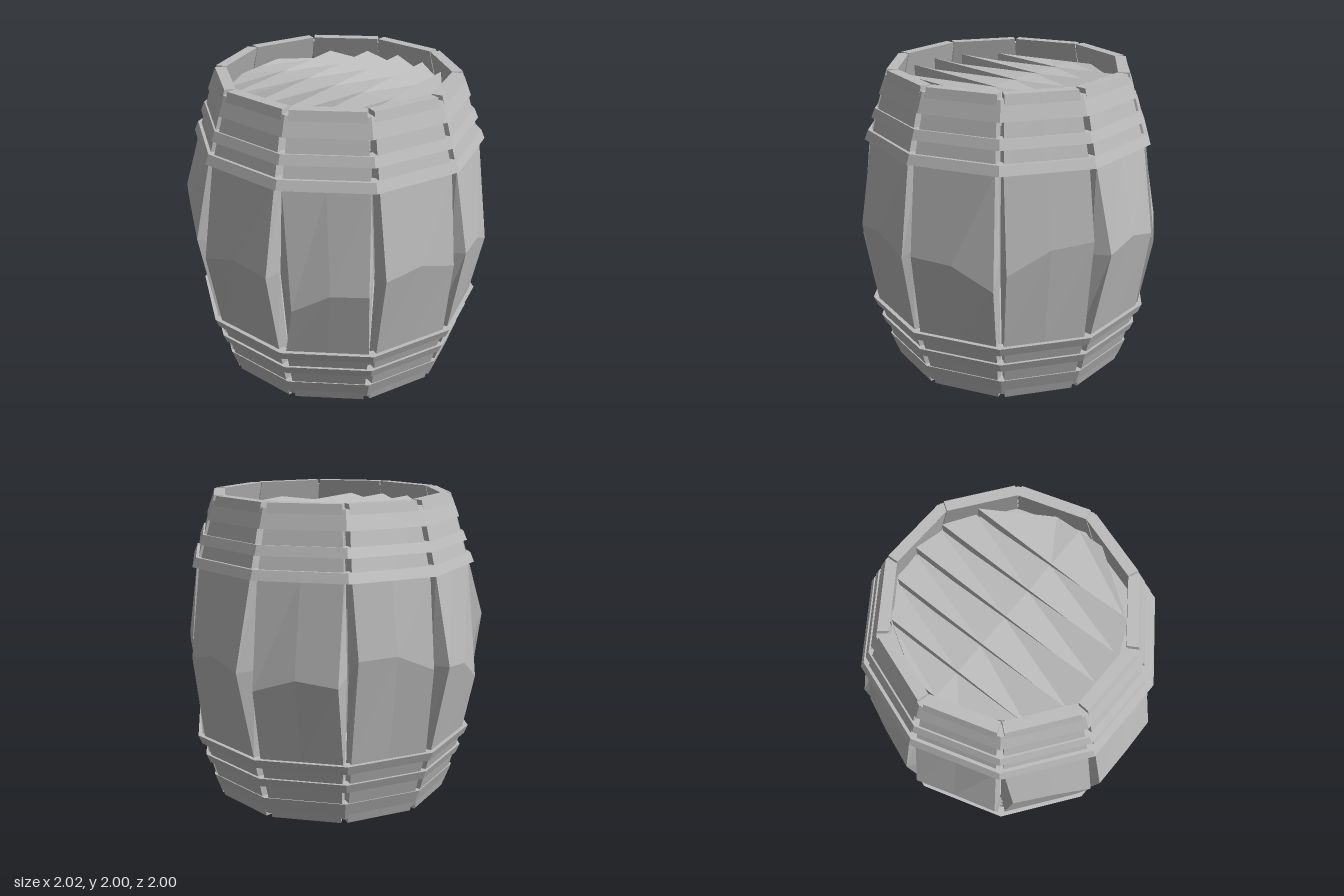
import * as THREE from 'three';

const wood = new THREE.MeshStandardMaterial({ color: 0xbcbcbc, flatShading: true });
wood.name = 'plainGrey';

const SIDES = 10;
const CORNER = THREE.MathUtils.degToRad(6); // direction of the first joint between staves
const STEP = (Math.PI * 2) / SIDES;
const TAN = Math.tan(STEP / 2);

// One row per stave at the belly:
// half width and distance from axis on each side, then height of each belly corner
const STAVES = [
  [0.26, 0.947, 0.95, 0.26, 0.969, 1.0],
  [0.26, 0.956, 0.9, 0.21, 0.955, 0.78],
  [0.264, 0.978, 1.0, 0.258, 0.982, 0.95],
  [0.288, 0.985, 1.05, 0.229, 0.986, 1.2],
  [0.27, 0.95, 0.8, 0.26, 0.985, 1.0],
  [0.253, 0.96, 1.0, 0.243, 0.935, 1.1],
  [0.246, 0.973, 0.95, 0.277, 0.96, 0.9],
  [0.234, 0.98, 1.0, 0.218, 0.98, 1.0],
  [0.29, 0.915, 1.1, 0.262, 0.95, 0.95],
  [0.277, 0.96, 0.85, 0.257, 0.968, 1.0],
];

// Horizontal slice of a stave: outer left, middle, right, then inner right, left
function slice(y, a, thick) {
  const w = a * TAN * 0.91, inner = a - thick, wi = inner * TAN * 0.985;
  return [[-w, y, a], [0, y, a], [w, y, a], [wi, y, inner], [-wi, y, inner]];
}

function staveGeometry([wR, aR, yR, wL, aL, yL]) {
  const belly = slice(1, 0.965, 0.09);
  belly[0] = [-wL, yL, aL];
  belly[1] = [(wR - wL) / 2, (yL + yR) / 2 + 0.06, (aL + aR) / 2 + 0.008];
  belly[2] = [wR, yR, aR];
  const rows = [
    slice(0, 0.755, 0.07), slice(0.44, 0.877, 0.08), belly,
    slice(1.56, 0.877, 0.08), slice(2, 0.755, 0.07),
  ];
  const n = 5, index = [];
  for (let k = 0; k < rows.length - 1; k++) {
    for (let i = 0; i < n; i++) {
      const a = k * n + i, b = k * n + ((i + 1) % n);
      index.push(a, b, b + n, a, b + n, a + n);
    }
  }
  const top = (rows.length - 1) * n;
  for (let i = 1; i < n - 1; i++) {
    index.push(0, i + 1, i, top, top + i, top + i + 1);
  }
  const g = new THREE.BufferGeometry();
  g.setAttribute('position', new THREE.Float32BufferAttribute(rows.flat(2), 3));
  g.setIndex(index);
  g.computeVertexNormals();
  return g;
}

// Ten-sided band with sloping faces
function hoopGeometry(y0, r0, y1, r1) {
  const t = 0.07;
  const pts = [[r0, y0], [r1, y1], [r1 - t, y1], [r0 - t, y0], [r0, y0]]
    .map(([r, y]) => new THREE.Vector2(r, y));
  return new THREE.LatheGeometry(pts, SIDES, Math.PI / 2 - CORNER);
}

// Lid plank between two x positions, ends cut to the round, slightly twisted
function plankGeometry(x0, x1) {
  const g = new THREE.BoxGeometry(x1 - x0, 0.08, 1, 1, 1, 2);
  const p = g.attributes.position, mid = (x0 + x1) / 2;
  for (let i = 0; i < p.count; i++) {
    const lx = p.getX(i), x = lx + mid;
    const z = p.getZ(i) * 2 * Math.sqrt(Math.max(0.03, 0.7 * 0.7 - x * x));
    p.setXYZ(i, x, p.getY(i) + 0.5 * lx * z, z);
  }
  g.computeVertexNormals();
  return g;
}

export function createModel() {
  const barrel = new THREE.Group();
  barrel.name = 'barrel';
  const add = (parent, name, geometry) => {
    const m = new THREE.Mesh(geometry, wood);
    m.name = name;
    parent.add(m);
    return m;
  };

  // Curved wall of staves
  const staves = new THREE.Group();
  staves.name = 'staves';
  STAVES.forEach((row, i) => {
    const angle = CORNER + (i + 0.5) * STEP;
    add(staves, 'stave', staveGeometry(row)).rotation.y = Math.PI / 2 - angle;
  });
  barrel.add(staves);

  // Three hoops below, mirrored above
  const hoops = new THREE.Group();
  hoops.name = 'hoops';
  for (const [y0, r0, y1, r1] of [
    [0.03, 0.8, 0.15, 0.845], [0.24, 0.875, 0.3, 0.9], [0.38, 0.925, 0.44, 0.95],
  ]) {
    add(hoops, 'lowerHoop', hoopGeometry(y0, r0, y1, r1));
    add(hoops, 'upperHoop', hoopGeometry(2 - y1, r1, 2 - y0, r0));
  }
  barrel.add(hoops);

  // Recessed lid of planks over a backing disc
  const lid = new THREE.Group();
  lid.name = 'lid';
  const cuts = [-0.69, -0.49, -0.27, -0.045, 0.175, 0.395, 0.69];
  for (let i = 0; i < cuts.length - 1; i++) {
    add(lid, 'lidPlank', plankGeometry(cuts[i] + 0.006, cuts[i + 1] - 0.006)).position.y = 1.84;
  }
  lid.rotation.y = -0.085;
  barrel.add(lid);

  const disc = (name, r, h, y) => {
    const g = new THREE.CylinderGeometry(r, r, h, SIDES, 1, false, Math.PI / 2 - CORNER);
    add(barrel, name, g).position.y = y;
  };
  disc('lidBacking', 0.74, 0.06, 1.77);
  disc('floor', 0.72, 0.06, 0.035);

  return barrel;
}
